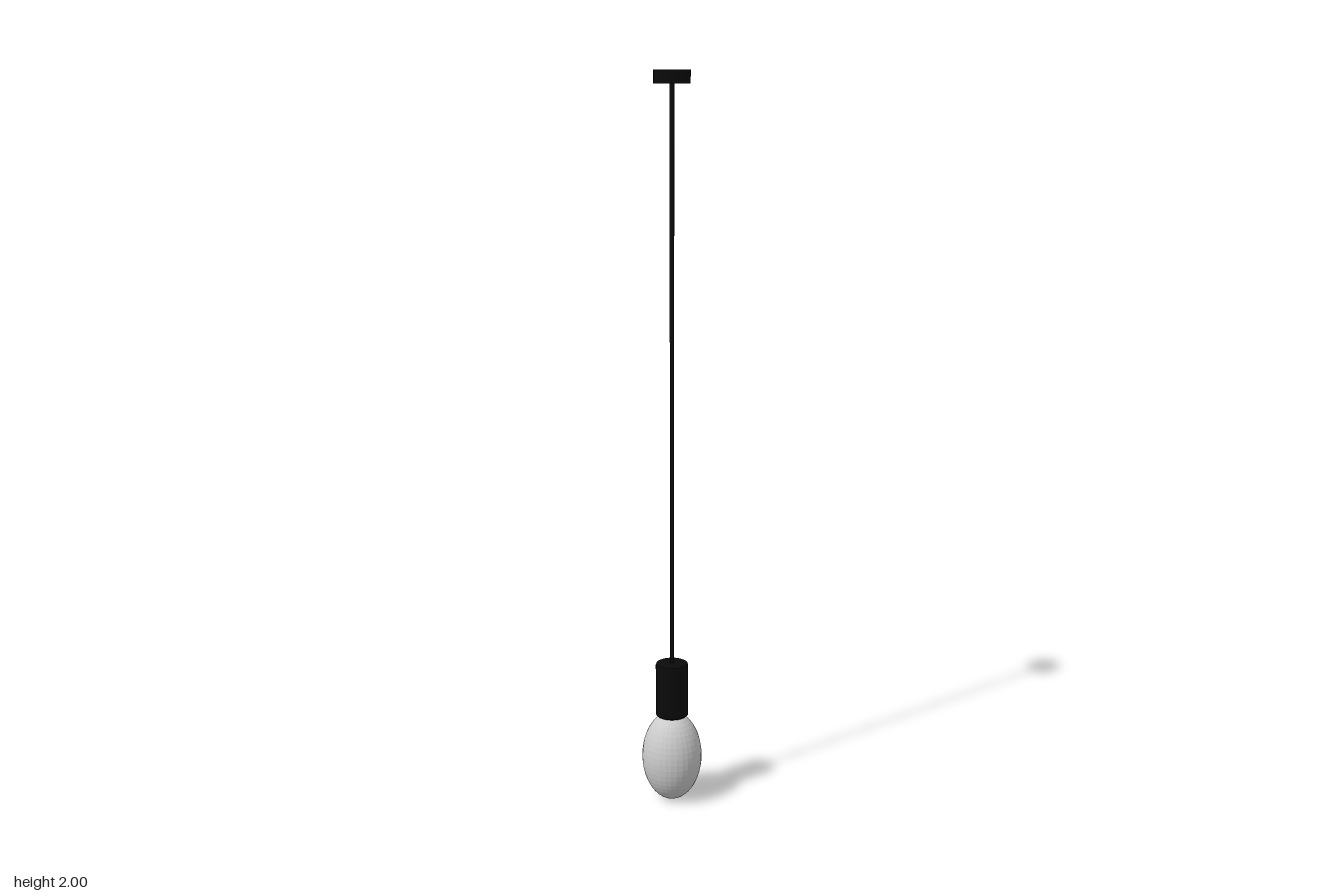
import * as THREE from 'three';

const SIDES = 32;

export function createModel() {
  const model = new THREE.Group();
  const black = new THREE.MeshStandardMaterial({ color: 0x0a0a0a, flatShading: true });
  const glass = new THREE.MeshStandardMaterial({ color: 0xcccccc, flatShading: true });

  const add = (name, geometry, material, y) => {
    const mesh = new THREE.Mesh(geometry, material);
    mesh.name = name;
    mesh.position.y = y;
    model.add(mesh);
  };

  // Ceiling plate
  add('ceilingPlate', new THREE.CylinderGeometry(0.048, 0.048, 0.035, SIDES), black, 1.9825);

  // Hanging cord, from the plate into the socket
  add('cord', new THREE.CylinderGeometry(0.006, 0.006, 1.58, 16), black, 1.18);

  // Socket with small bevels at both rims
  const profile = [
    [0, 0], [0.041, 0], [0.045, 0.004], [0.045, 0.147],
    [0.043, 0.152], [0.039, 0.154], [0, 0.154],
  ].map(([r, y]) => new THREE.Vector2(r, y));
  add('socket', new THREE.LatheGeometry(profile, SIDES), black, 0.246);

  // Egg-shaped bulb, its tip sunk into the socket
  const bulb = new THREE.SphereGeometry(1, SIDES, 24).scale(0.083, 0.127, 0.083);
  add('bulb', bulb, glass, 0.127);

  return model;
}
